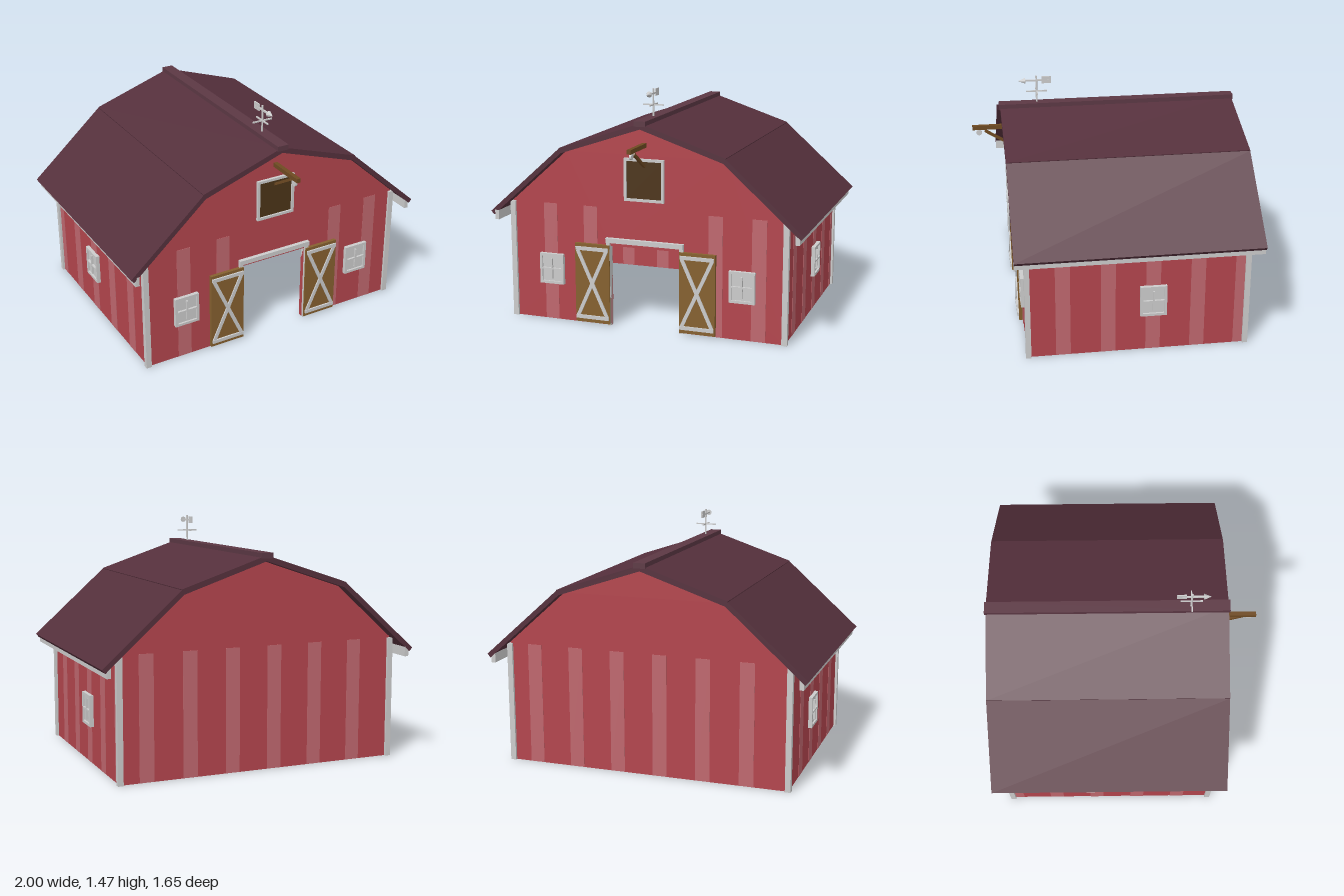
import * as THREE from 'three';

const mat = (color) => new THREE.MeshStandardMaterial({ color, flatShading: true });
const M = {
  wall: mat(0xb3454d), stripe: mat(0xbf676e), roof: mat(0x55303c), ridge: mat(0x5c3844),
  trim: mat(0xcccccc), door: mat(0x85602f), loft: mat(0x4c3418), beam: mat(0x6e4a22),
};

const FRONT = 0.575, BACK = -0.745, SIDE = 0.88, T = 0.03, MID = (FRONT + BACK) / 2;

function add(parent, name, geometry, material, x = 0, y = 0, z = 0) {
  const mesh = new THREE.Mesh(geometry, material);
  mesh.name = name;
  mesh.position.set(x, y, z);
  parent.add(mesh);
  return mesh;
}

// Box given by its minimum and maximum on each axis
function box(parent, name, material, [x0, x1], [y0, y1], [z0, z1]) {
  return add(parent, name, new THREE.BoxGeometry(x1 - x0, y1 - y0, z1 - z0), material,
    (x0 + x1) / 2, (y0 + y1) / 2, (z0 + z1) / 2);
}

function extrude(points, depth) {
  const shape = new THREE.Shape(points.map(([x, y]) => new THREE.Vector2(x, y)));
  return new THREE.ExtrudeGeometry(shape, { depth, bevelEnabled: false });
}

// Square bar between two points
function bar(parent, name, material, a, b, width, depth) {
  const p = new THREE.Vector3(...a), q = new THREE.Vector3(...b);
  const mesh = add(parent, name, new THREE.BoxGeometry(width, p.distanceTo(q), depth), material);
  mesh.position.lerpVectors(p, q, 0.5);
  mesh.quaternion.setFromUnitVectors(new THREE.Vector3(0, 1, 0), q.sub(p).normalize());
  return mesh;
}

function group(parent, name) {
  const g = new THREE.Group();
  g.name = name;
  parent.add(g);
  return g;
}

// Window facing +z, centred on its origin
function makeWindow(parent, name) {
  const g = group(parent, name);
  const w = 0.08, h = 0.097, f = 0.016;
  box(g, 'pane', M.trim, [-w + f, w - f], [-h + f, h - f], [0, 0.012]);
  for (const s of [-1, 1]) {
    add(g, 'frameSide', new THREE.BoxGeometry(f, h * 2, 0.024), M.trim, s * (w - f / 2), 0, 0.012);
    add(g, 'frameRail', new THREE.BoxGeometry(w * 2, f, 0.024), M.trim, 0, s * (h - f / 2), 0.012);
  }
  add(g, 'mullion', new THREE.BoxGeometry(0.01, 0.13, 0.02), M.trim, 0, 0, 0.016);
  add(g, 'crossbar', new THREE.BoxGeometry(0.128, 0.01, 0.02), M.trim, 0, 0, 0.016);
  return g;
}

function buildWalls(root) {
  const g = group(root, 'walls');
  const gable = [[SIDE, 0], [SIDE, 0.755], [0.515, 1.085], [0, 1.255], [-0.515, 1.085], [-SIDE, 0.755], [-SIDE, 0]];
  const doorway = [[-0.225, 0], [-0.225, 0.51], [0.225, 0.51], [0.225, 0]];
  add(g, 'frontWall', extrude([...gable, ...doorway], T), M.wall, 0, 0, FRONT - T);
  add(g, 'backWall', extrude(gable, T), M.wall, 0, 0, BACK);
  for (const s of [-1, 1]) {
    add(g, 'sideWall', new THREE.BoxGeometry(T, 0.75, FRONT - BACK - 2 * T), M.wall, s * (SIDE - T / 2), 0.375, MID);
    // Corner boards
    for (const z of [FRONT - 0.001, BACK + 0.001])
      add(g, 'cornerBoard', new THREE.BoxGeometry(0.034, 0.748, 0.032), M.trim, s * 0.879, 0.374, z);
    // Every third side plank is lighter
    for (let k = 2; k < 15; k += 3)
      add(g, 'sidePlank', new THREE.BoxGeometry(T + 0.004, 0.748, k === 14 ? 0.06 : 0.088), M.stripe,
        s * (SIDE - T / 2), 0.375, 0.59 - 0.09 * (k + 0.5) + (k === 14 ? 0.015 : 0));
  }
  // Lighter planks on the gable walls
  for (let k = 2; k < 19; k += 3) {
    const x = -0.85 + 0.0895 * (k + 0.5);
    add(g, 'backPlank', new THREE.BoxGeometry(0.089, 0.748, T + 0.004), M.stripe, x, 0.375, BACK + T / 2);
    if (Math.abs(x) > 0.25)
      add(g, 'frontPlank', new THREE.BoxGeometry(0.089, 0.748, 0.01), M.stripe, x, 0.375, FRONT - 0.003);
  }
}

function buildRoof(root) {
  const g = group(root, 'roof');
  const z0 = -0.82, depth = 1.47;
  for (const s of [-1, 1]) {
    const slope = (pts) => extrude(pts.map(([x, y]) => [x * s, y]), depth);
    add(g, 'upperSlope', slope([[0, 1.287], [0, 1.253], [0.517, 1.08], [0.527, 1.112]]), M.roof, 0, 0, z0);
    add(g, 'lowerSlope', slope([[0.527, 1.108], [0.512, 1.082], [0.98, 0.665], [1, 0.687]]), M.roof, 0, 0, z0);
    add(g, 'eaveBoard', new THREE.BoxGeometry(0.026, 0.06, depth), M.trim, s * 0.96, 0.665, z0 + depth / 2);
  }
  box(g, 'ridgeCap', M.ridge, [-0.036, 0.036], [1.27, 1.302], [-0.827, 0.657]);
}

function buildDoors(root) {
  const g = group(root, 'doorway');
  box(g, 'header', M.trim, [-0.25, 0.25], [0.533, 0.562], [0.57, 0.6]);
  for (const s of [-1, 1]) {
    add(g, 'jamb', new THREE.BoxGeometry(0.025, 0.535, 0.045), M.trim, s * 0.2375, 0.2675, 0.5685);
    const d = group(g, 'slidingDoor');
    d.position.set(s * 0.34, 0, 0);
    box(d, 'panel', M.door, [-0.114, 0.114], [0.01, 0.515], [0.578, 0.6]);
    for (const y of [0.045, 0.485])
      add(d, 'rail', new THREE.BoxGeometry(0.215, 0.022, 0.012), M.trim, 0, y, 0.604);
    for (const t of [-1, 1])
      bar(d, 'crossBrace', M.trim, [-0.095 * t, 0.055, 0.603], [0.095 * t, 0.475, 0.603], 0.022, 0.01);
  }
}

function buildLoft(root) {
  const g = group(root, 'hayLoft');
  box(g, 'hatch', M.loft, [-0.118, 0.118], [0.815, 1.055], [0.57, 0.582]);
  for (const s of [-1, 1]) {
    add(g, 'hatchSide', new THREE.BoxGeometry(0.016, 0.262, 0.022), M.trim, s * 0.12, 0.935, 0.582);
    add(g, 'hatchRail', new THREE.BoxGeometry(0.256, 0.016, 0.022), M.trim, 0, 0.935 + s * 0.123, 0.582);
  }
  // Hoist
  box(g, 'hoistBeam', M.beam, [-0.013, 0.013], [1.135, 1.161], [0.56, 0.828]);
  bar(g, 'hoistBrace', M.beam, [0, 1.125, 0.75], [0, 1.02, 0.58], 0.016, 0.016);
  add(g, 'pulley', new THREE.CylinderGeometry(0.018, 0.018, 0.014, 12), M.trim, 0, 1.115, 0.787).rotation.z = Math.PI / 2;
}

function buildVane(root) {
  const g = group(root, 'weatherVane');
  g.position.set(0, 0, 0.42);
  add(g, 'pole', new THREE.CylinderGeometry(0.006, 0.006, 0.18, 8), M.trim, 0, 1.38, 0);
  add(g, 'compassBarX', new THREE.BoxGeometry(0.132, 0.008, 0.008), M.trim, 0, 1.371, 0);
  add(g, 'compassBarZ', new THREE.BoxGeometry(0.008, 0.008, 0.132), M.trim, 0, 1.371, 0);
  add(g, 'arrowShaft', new THREE.BoxGeometry(0.01, 0.01, 0.17), M.trim, 0, 1.44, 0);
  add(g, 'arrowHead', new THREE.ConeGeometry(0.019, 0.045, 8), M.trim, 0, 1.44, 0.092).rotation.x = Math.PI / 2;
  add(g, 'arrowTail', new THREE.BoxGeometry(0.008, 0.044, 0.058), M.trim, 0, 1.442, -0.062);
}

export function createModel() {
  const root = new THREE.Group();
  root.name = 'barn';
  buildWalls(root);
  buildRoof(root);
  buildDoors(root);
  buildLoft(root);
  buildVane(root);
  // Windows on the front and on both sides
  for (const s of [-1, 1]) {
    makeWindow(root, 'frontWindow').position.set(s * 0.617, 0.332, FRONT);
    const w = makeWindow(root, 'sideWindow');
    w.position.set(s * SIDE, 0.332, -0.175);
    w.rotation.y = s * Math.PI / 2;
  }
  return root;
}
